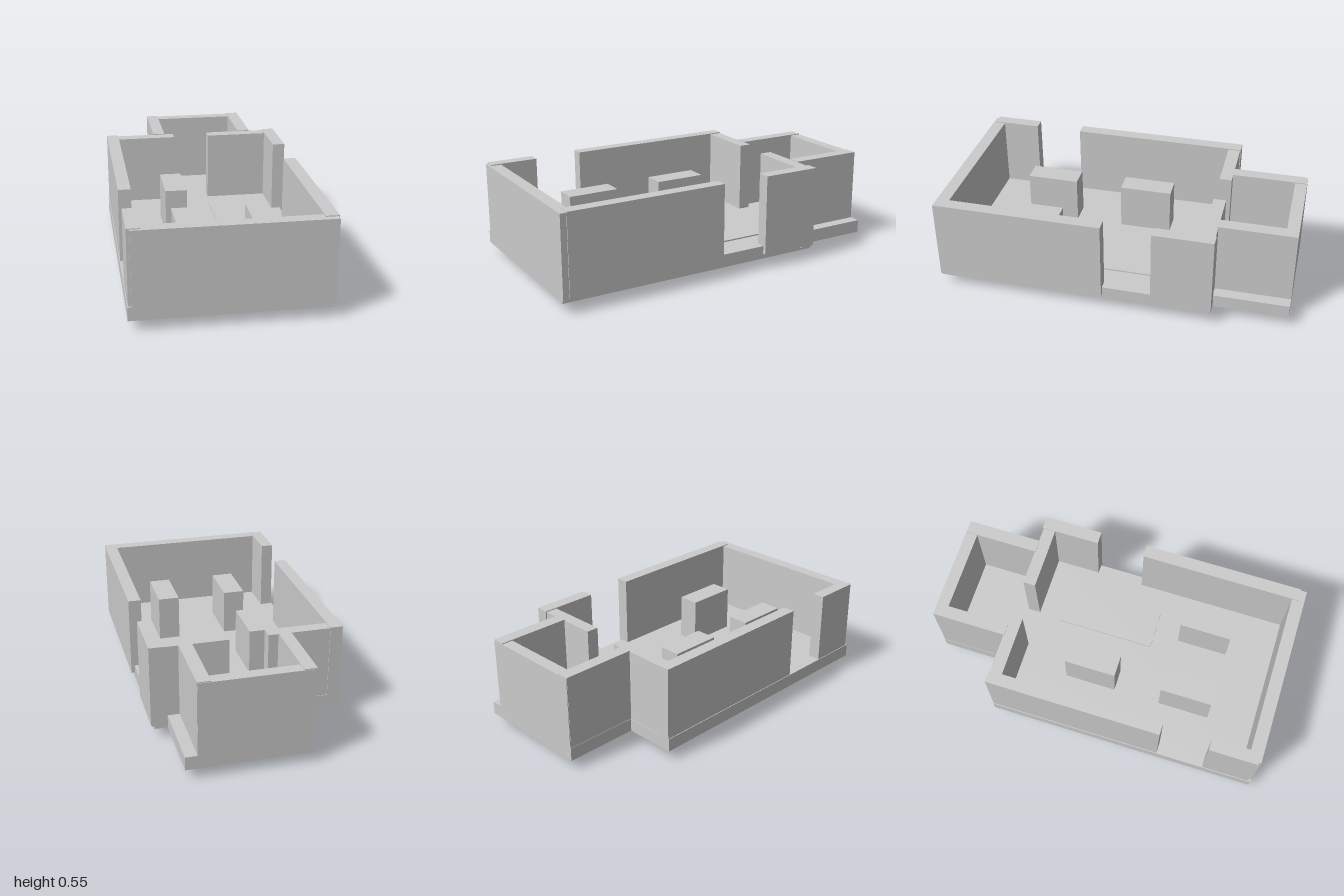
import * as THREE from 'three';

export function createModel() {
  const model = new THREE.Group();
  const material = new THREE.MeshStandardMaterial({ color: 0xcccccc, flatShading: true });

  // Box given by its lower and upper limits on each axis
  const box = (name, [x0, x1], [y0, y1], [z0, z1]) => {
    const mesh = new THREE.Mesh(new THREE.BoxGeometry(x1 - x0, y1 - y0, z1 - z0), material);
    mesh.position.set((x0 + x1) / 2, (y0 + y1) / 2, (z0 + z1) / 2);
    mesh.name = name;
    model.add(mesh);
  };

  // Floor slab: main room with a narrower back room, in one outline (x, -z)
  const outline = [
    [-0.537, -0.998], [0.515, -0.998], [0.515, 0.573], [0.442, 0.573],
    [0.442, 1], [-0.242, 1], [-0.242, 0.577], [-0.537, 0.577],
  ].map(([x, y]) => new THREE.Vector2(x, y));
  const floor = new THREE.Mesh(
    new THREE.ExtrudeGeometry(new THREE.Shape(outline), { depth: 0.075, bevelEnabled: false }),
    material,
  );
  floor.rotation.x = -Math.PI / 2;
  floor.position.y = 0.06;
  floor.name = 'floor';
  model.add(floor);

  // Side walls, slightly taller than the cross walls, with door gaps
  const tall = [0.088, 0.55];
  box('leftWallFront', [0.463, 0.535], tall, [0.04, 0.965]);
  box('leftWallBack', [0.463, 0.535], tall, [-0.58, -0.24]);
  box('rightWallFront', [-0.533, -0.463], tall, [0.71, 0.985]);
  box('rightWallBack', [-0.533, -0.463], tall, [-0.578, 0.433]);
  box('backRoomLeftWall', [0.303, 0.376], tall, [-0.997, -0.57]);
  box('backRoomRightWall', [-0.24, -0.17], tall, [-0.997, -0.57]);

  // Cross walls, with a doorway into the back room
  const low = [0.076, 0.545];
  box('frontWall', [-0.517, 0.53], low, [0.928, 1]);
  box('partitionLeft', [0.1, 0.53], low, [-0.574, -0.503]);
  box('partitionRight', [-0.53, -0.115], low, [-0.574, -0.503]);
  box('backWall', [-0.238, 0.374], low, [-1, -0.932]);

  // Blocks that pass through the floor
  for (const [x, z] of [[-0.177, -0.067], [-0.177, 0.508], [0.237, 0.508]]) {
    box('block', [x - 0.062, x + 0.062], [0, 0.4], [z - 0.15, z + 0.15]);
  }

  // Thin mat on the main floor
  box('mat', [0.085, 0.35], [0.12, 0.143], [-0.37, 0.21]);

  return model;
}
